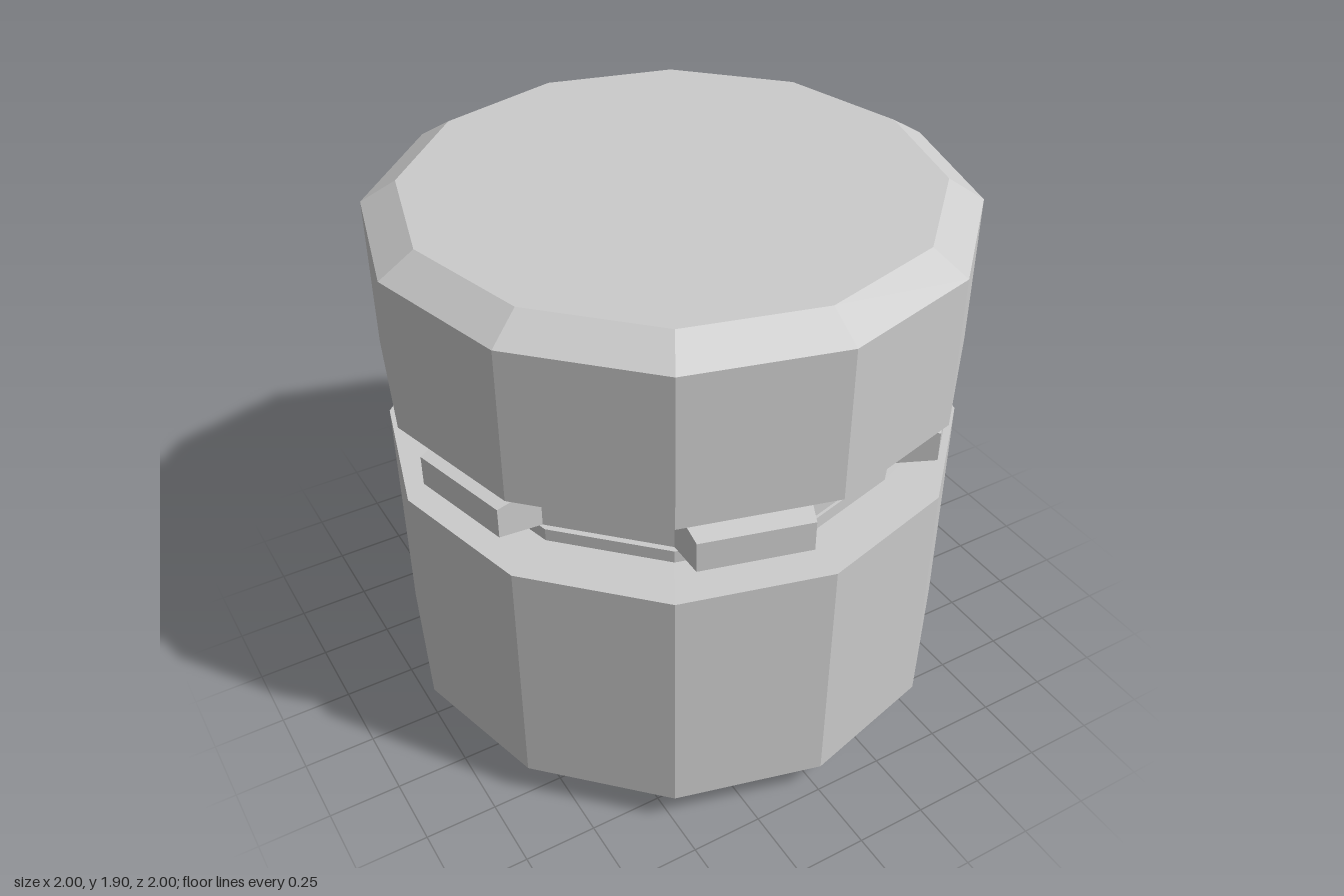
import * as THREE from 'three';

const SIDES = 12;
const material = new THREE.MeshStandardMaterial({ color: 0xcccccc, flatShading: true });

// Closed twelve-sided solid from [radius, height] points, bottom to top
function turned(name, points) {
  const profile = points.map(([r, y]) => new THREE.Vector2(r, y));
  const mesh = new THREE.Mesh(new THREE.LatheGeometry(profile, SIDES), material);
  mesh.name = name;
  return mesh;
}

// Block whose outer (+z) face is inset on all four edges
function toothGeometry(width, height, depth, inset) {
  const geometry = new THREE.BoxGeometry(width, height, depth);
  const p = geometry.attributes.position;
  for (let i = 0; i < p.count; i++) {
    if (p.getZ(i) > 0) {
      p.setX(i, p.getX(i) - Math.sign(p.getX(i)) * inset);
      p.setY(i, p.getY(i) - Math.sign(p.getY(i)) * inset);
    }
  }
  geometry.computeVertexNormals();
  return geometry;
}

export function createModel() {
  const model = new THREE.Group();
  model.name = 'canister';

  // Lower body, chamfered at the foot, with a stepped collar on top
  model.add(turned('lowerBody', [
    [0, 0], [0.88, 0], [1, 0.12], [1, 1.005], [0.81, 1.005], [0.81, 1.05], [0, 1.05],
  ]));

  // Narrow neck joining the two halves
  model.add(turned('neck', [[0.68, 1.05], [0.68, 1.25]]));

  // Upper body, chamfered at the top, with a stepped collar beneath
  model.add(turned('upperBody', [
    [0, 1.25], [0.81, 1.25], [0.81, 1.3], [1, 1.3], [1, 1.83], [0.88, 1.905], [0, 1.905],
  ]));

  // Ring with a tooth on every second facet
  const ringRadius = 0.82, bottom = 1.077, top = 1.235, depth = 0.152;
  const gear = new THREE.Group();
  gear.name = 'gearRing';
  gear.add(turned('ring', [
    [0.6, bottom], [ringRadius, bottom], [ringRadius, top], [0.6, top],
  ]));

  const halfAngle = Math.PI / SIDES;
  const facetWidth = 2 * ringRadius * Math.sin(halfAngle);
  const apothem = ringRadius * Math.cos(halfAngle);
  const geometry = toothGeometry(facetWidth, top - bottom, depth, 0.025);
  for (let i = 0; i < SIDES / 2; i++) {
    const angle = Math.PI / 4 + (i * Math.PI) / 3;
    const tooth = new THREE.Mesh(geometry, material);
    tooth.name = 'tooth';
    tooth.rotation.y = angle;
    tooth.position.set(0, (bottom + top) / 2, 0);
    tooth.translateZ(apothem + depth / 2);
    gear.add(tooth);
  }
  model.add(gear);

  return model;
}
